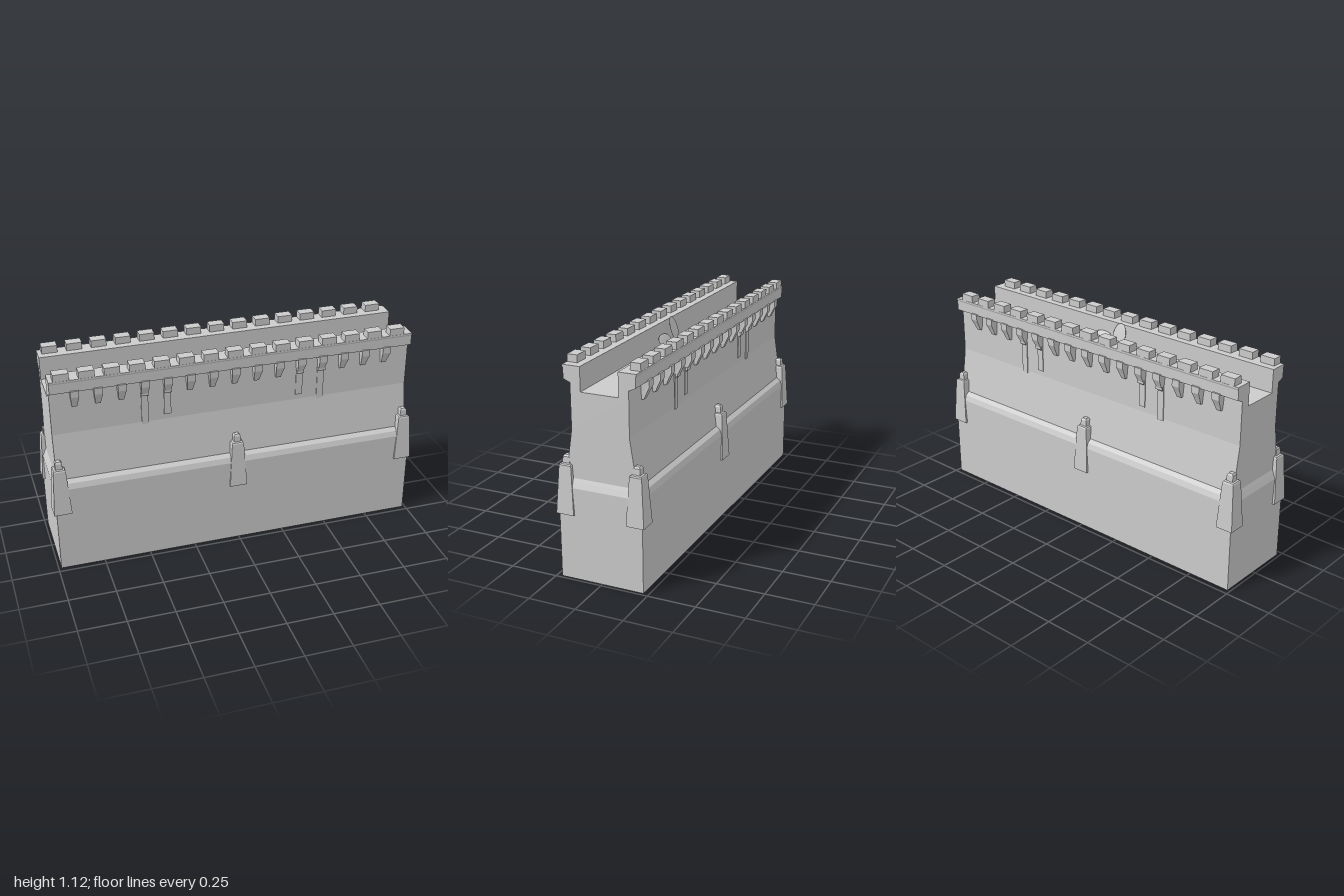
import * as THREE from 'three';

const stone = new THREE.MeshStandardMaterial({ color: 0xcccccc, flatShading: true, side: THREE.DoubleSide });
const smooth = new THREE.MeshStandardMaterial({ color: 0xcccccc });

function add(parent, name, geometry, x = 0, y = 0, z = 0, material = stone) {
  const mesh = new THREE.Mesh(geometry, material);
  mesh.name = name;
  mesh.position.set(x, y, z);
  parent.add(mesh);
  return mesh;
}

// Stack of rectangular rings [y, halfX, halfZ], open below and closed on top
function rectLoft(rings) {
  const pos = [];
  const loops = rings.map(([y, hx, hz]) =>
    [[hx, y, hz], [hx, y, -hz], [-hx, y, -hz], [-hx, y, hz]]);
  const quad = (a, b, c, d) => pos.push(...a, ...b, ...c, ...a, ...c, ...d);
  for (let i = 0; i < loops.length - 1; i++) {
    for (let k = 0; k < 4; k++) {
      const n = (k + 1) % 4;
      quad(loops[i][k], loops[i][n], loops[i + 1][n], loops[i + 1][k]);
    }
  }
  quad(...loops[loops.length - 1]);
  const g = new THREE.BufferGeometry();
  g.setAttribute('position', new THREE.Float32BufferAttribute(pos, 3));
  g.computeVertexNormals();
  return g;
}

// Side profile of [z, y] points, extruded along x and centred
function alongX(points, length) {
  const shape = new THREE.Shape(points.map(([z, y]) => new THREE.Vector2(z, y)));
  const g = new THREE.ExtrudeGeometry(shape, { depth: length, bevelEnabled: false });
  return g.translate(0, 0, -length / 2).rotateY(-Math.PI / 2);
}

// Corbel that narrows towards its foot
function corbelGeometry() {
  const g = alongX([[0.15, 0.922], [0.165, 0.922], [0.18, 0.955], [0.197, 0.988],
    [0.197, 1.022], [0.15, 1.022]], 0.044);
  const p = g.attributes.position;
  for (let i = 0; i < p.count; i++) {
    const t = THREE.MathUtils.clamp((p.getY(i) - 0.922) / 0.066, 0, 1);
    p.setX(i, p.getX(i) * (0.6 + 0.4 * t));
  }
  g.computeVertexNormals();
  return g;
}

export function createModel() {
  const wall = new THREE.Group();
  wall.name = 'castleWall';

  // Hollow wall body with a sloping ledge and a narrowing upper part
  add(wall, 'wallBody', rectLoft([
    [0, 0.985, 0.222], [0.48, 0.985, 0.222], [0.508, 0.973, 0.211],
    [0.525, 0.965, 0.189], [0.77, 0.965, 0.152], [0.961, 0.965, 0.152],
  ]));

  // Shared geometry
  const parapet = alongX([[0.0985, 0.961], [0.152, 0.961], [0.152, 1.0], [0.188, 1.016],
    [0.188, 1.068], [0.192, 1.076], [0.192, 1.084], [0.0985, 1.084]], 1.93);
  const merlon = new THREE.BoxGeometry(0.08, 0.04, 0.054);
  const corbel = corbelGeometry();
  const rod = new THREE.BoxGeometry(0.04, 0.016, 0.008);
  const buttress = rectLoft([[0.34, 0.047, 0.047], [0.588, 0.032, 0.032], [0.594, 0.028, 0.028],
    [0.597, 0.019, 0.019], [0.628, 0.0175, 0.0175], [0.637, 0.011, 0.011]]);

  // The two long sides; the back is turned round, so x is negated there
  for (const s of [1, -1]) {
    const side = new THREE.Group();
    side.name = s > 0 ? 'frontSide' : 'backSide';
    side.rotation.y = s > 0 ? 0 : Math.PI;
    wall.add(side);

    add(side, 'parapet', parapet);
    for (let i = 0; i < 15; i++) {
      add(side, 'merlon', merlon, s * (-0.903 + i * 0.1272), 1.102, 0.164);
      add(side, 'corbel', corbel, s * (-0.842 + i * 0.119));
    }

    // Hanging banners below four of the corbels
    for (const [i, bottom] of [[3, 0.76], [4, 0.8], [10, 0.8], [11, 0.76]]) {
      const x = s * (-0.842 + i * 0.119);
      const h = 0.945 - bottom;
      add(side, 'banner', new THREE.BoxGeometry(0.037, h, 0.004), x, bottom + h / 2, 0.157);
      add(side, 'bannerRod', rod, x, 0.938, 0.17);
    }

    for (const x of [-0.952, -0.006, 0.949]) add(side, 'buttress', buttress, s * x, 0, 0.187);
  }

  // Two shields left on the walkway, leaning on the front parapet
  const shield = (name, w, h, x, y, z, tilt) => {
    const g = new THREE.SphereGeometry(1, 20, 12).scale(w / 2, h / 2, 0.004);
    add(wall, name, g, x, y, z, smooth).rotation.x = tilt;
  };
  shield('uprightShield', 0.086, 0.135, -0.012, 1.025, 0.076, 0.31);
  shield('lyingShield', 0.136, 0.072, 0.105, 0.991, 0.074, 0.62);

  return wall;
}
